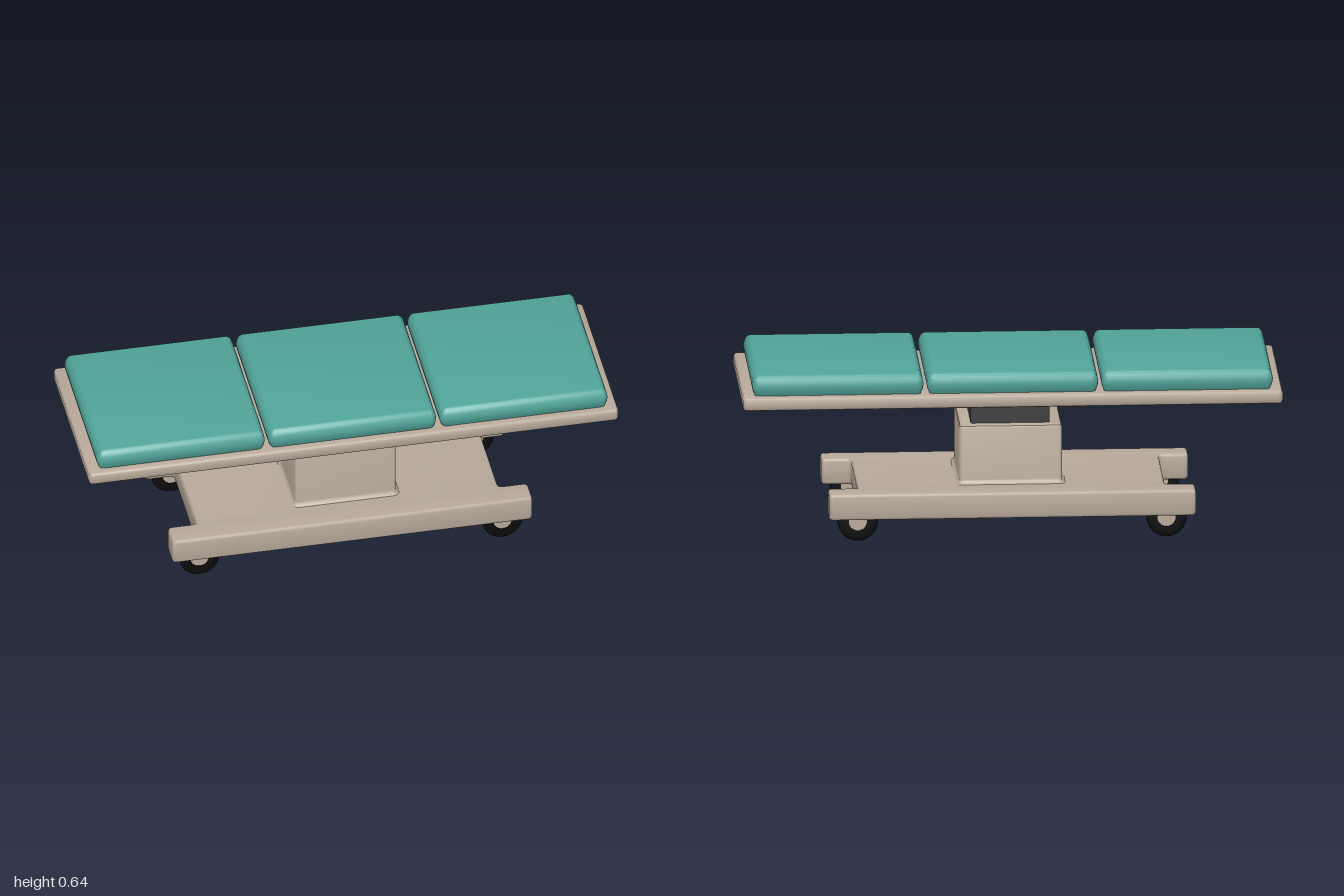
import * as THREE from 'three';
import { mergeVertices, toCreasedNormals } from 'three/addons/utils/BufferGeometryUtils.js';

const material = (name, color) => {
  const m = new THREE.MeshStandardMaterial({ color });
  m.name = name;
  return m;
};

// Rounded-rectangle slab lofted through [outset, y] rings, bottom to top, capped at both ends
function slab(hx, hz, radius, profile) {
  const steps = 4, positions = [], index = [];
  const corners = [[1, 1], [-1, 1], [-1, -1], [1, -1]];
  const n = corners.length * (steps + 1);
  for (const [out, y] of profile) {
    const r = Math.max(radius + out, 0.002);
    corners.forEach(([sx, sz], c) => {
      for (let i = 0; i <= steps; i++) {
        const a = (c + i / steps) * Math.PI / 2;
        positions.push(sx * (hx + out - r) + r * Math.cos(a), y, sz * (hz + out - r) + r * Math.sin(a));
      }
    });
  }
  for (let k = 0; k < profile.length - 1; k++) {
    for (let i = 0; i < n; i++) {
      const a = k * n + i, b = k * n + (i + 1) % n;
      index.push(a, a + n, b, b, a + n, b + n);
    }
  }
  const top = (profile.length - 1) * n;
  for (let i = 1; i < n - 1; i++) {
    index.push(0, i, i + 1, top, top + i + 1, top + i);
  }
  const g = new THREE.BufferGeometry();
  g.setAttribute('position', new THREE.Float32BufferAttribute(positions, 3));
  g.setIndex(index);
  return toCreasedNormals(mergeVertices(g, 1e-5), 0.7);
}

// Closed shape with every corner rounded
function roundedShape(points, r) {
  const shape = new THREE.Shape();
  const pts = points.map(([x, y]) => new THREE.Vector2(x, y));
  pts.forEach((p, i) => {
    const toward = q => q.clone().sub(p).setLength(r).add(p);
    const a = toward(pts[(i + pts.length - 1) % pts.length]);
    const b = toward(pts[(i + 1) % pts.length]);
    if (i === 0) shape.moveTo(a.x, a.y); else shape.lineTo(a.x, a.y);
    shape.quadraticCurveTo(p.x, p.y, b.x, b.y);
  });
  shape.closePath();
  return shape;
}

export function createModel() {
  const model = new THREE.Group();
  const beige = material('beige shell', 0xb8aa9b);
  const teal = material('teal upholstery', 0x52a59b);
  const charcoal = material('charcoal sleeve', 0x3e3e3e);
  const black = material('black rubber', 0x0c0c0c);
  const add = (name, geometry, mat, parent = model) => {
    const mesh = new THREE.Mesh(geometry, mat);
    mesh.name = name;
    parent.add(mesh);
    return mesh;
  };

  // H-shaped base: two long rails joined by a shorter plate
  const half = [[0.68, 0.21], [0.68, 0.31], [-0.68, 0.31], [-0.68, 0.21], [-0.57, 0.21]];
  const outline = [[0.57, 0.21], ...half, ...half.map(([x, y]) => [-x, -y])];
  outline.splice(6, 0, [-0.57, -0.21]);
  // Order the lower half so the outline runs in one loop
  const loop = [...outline.slice(0, 6), ...[...half].reverse().map(([x, y]) => [x, -y]), [0.57, -0.21]];
  const bevel = 0.012;
  const base = new THREE.ExtrudeGeometry(roundedShape(loop, 0.018), {
    depth: 0.1 - 2 * bevel, bevelSize: bevel, bevelThickness: bevel, bevelOffset: -bevel,
    bevelSegments: 3, curveSegments: 5,
  });
  base.rotateX(-Math.PI / 2).translate(0, 0.085 + bevel, 0);
  add('base', toCreasedNormals(base, 0.7), beige);

  // Lifting column with a flared foot, and its telescoping sleeve
  add('column', slab(0.19, 0.18, 0.012, [
    [0.016, 0.183], [0.008, 0.188], [0.002, 0.194], [0, 0.202],
    [0, 0.398], [-0.003, 0.405], [-0.01, 0.408],
  ]), beige);
  add('sleeve', slab(0.146, 0.145, 0.008, [[0, 0.405], [0, 0.512]]), charcoal);
  add('sleeveCollar', slab(0.146, 0.145, 0.008, [
    [0.001, 0.502], [0.004, 0.508], [0.009, 0.512], [0.016, 0.516],
  ]), beige);

  // Table frame
  add('tableFrame', slab(1, 0.337, 0.016, [
    [-0.013, 0.515], [-0.004, 0.519], [0, 0.528],
    [0, 0.555], [-0.004, 0.563], [-0.013, 0.567],
  ]), beige);

  // Three padded cushions
  ['Right', 'Middle', 'Left'].forEach((side, i) => {
    add(`cushion${side}`, slab(0.318, 0.318, 0.026, [
      [-0.011, 0.566], [-0.003, 0.584], [0, 0.603], [-0.003, 0.619],
      [-0.009, 0.632], [-0.017, 0.64], [-0.025, 0.643],
    ]), teal).position.x = (i - 1) * 0.647;
  });

  // Four casters: ring tyre around a recessed hub
  const profile = [
    [0.034, -0.026], [0.066, -0.026], [0.071, -0.023], [0.074, -0.018],
    [0.074, 0.018], [0.071, 0.023], [0.066, 0.026], [0.034, 0.026], [0.034, -0.026],
  ].map(([x, y]) => new THREE.Vector2(x, y));
  const tyre = toCreasedNormals(new THREE.LatheGeometry(profile, 32).rotateX(Math.PI / 2), 0.7);
  const hub = new THREE.CylinderGeometry(0.0345, 0.0345, 0.044, 24).rotateX(Math.PI / 2);
  for (const sx of [1, -1]) {
    for (const sz of [1, -1]) {
      const caster = new THREE.Group();
      caster.name = `caster${sz > 0 ? 'Front' : 'Back'}${sx > 0 ? 'Left' : 'Right'}`;
      caster.position.set(sx * 0.572, 0.074, sz * 0.259);
      add('tyre', tyre, black, caster);
      add('hub', hub, beige, caster);
      model.add(caster);
    }
  }
  return model;
}
